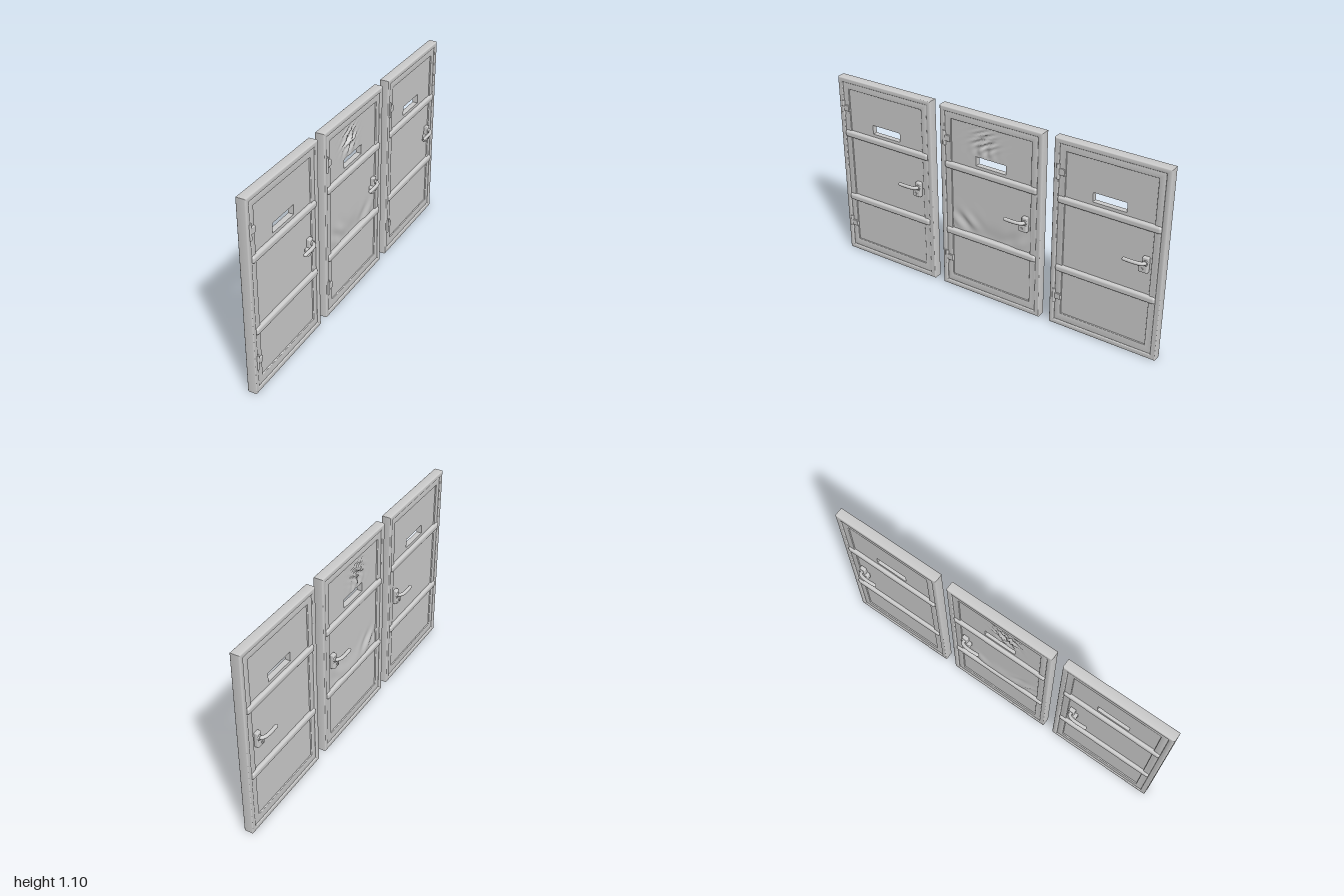
import * as THREE from 'three';
import { RoundedBoxGeometry } from 'three/addons/geometries/RoundedBoxGeometry.js';
import { toCreasedNormals } from 'three/addons/utils/BufferGeometryUtils.js';

const grey = new THREE.MeshStandardMaterial({ color: 0xcccccc });
const H = 1.095, W = 0.625;

function add(parent, name, geometry, x = 0, y = 0, z = 0) {
  const mesh = new THREE.Mesh(geometry, grey);
  mesh.name = name;
  mesh.position.set(x, y, z);
  parent.add(mesh);
  return mesh;
}

function rectPath(path, x0, x1, y0, y1) {
  path.moveTo(x0, y0);
  path.lineTo(x1, y0);
  path.lineTo(x1, y1);
  path.lineTo(x0, y1);
  path.closePath();
  return path;
}

// Bevelled rectangular ring, centred on z = 0; o and i are [x0, x1, y0, y1]
function ring(o, i, depth, bevel) {
  const shape = rectPath(new THREE.Shape(), ...o);
  shape.holes.push(rectPath(new THREE.Path(), ...i));
  const g = new THREE.ExtrudeGeometry(shape, {
    depth: depth - 2 * bevel, bevelEnabled: true, bevelSize: bevel,
    bevelThickness: bevel, bevelOffset: -bevel, bevelSegments: 3,
  });
  g.translate(0, 0, -depth / 2 + bevel);
  return toCreasedNormals(g, 0.7);
}

// Crumpled metal: a puncture in the upper panel and creases in the middle one
function dent(x, y) {
  const bump = (cx, cy, rx, ry) => Math.exp(-(((x - cx) / rx) ** 2) - (((y - cy) / ry) ** 2));
  const puncture = bump(-0.04, 0.94, 0.06, 0.06) * 0.02 * Math.sin(95 * x + 30 * Math.sin(9 * y)) * Math.cos(60 * (y - 0.94));
  const creases = bump(-0.17, 0.44, 0.08, 0.05) * 0.007 * Math.sin(50 * x + 45 * y)
    - bump(0, 0.38, 0.16, 0.06) * 0.007
    + bump(0.16, 0.41, 0.08, 0.05) * 0.005 * Math.sin(40 * x - 30 * y);
  return puncture + creases;
}

function slab(parent, name, x0, x1, y0, y1, dented) {
  const w = x1 - x0, h = y1 - y0;
  const n = (s) => (dented ? Math.max(1, Math.round(s / 0.01)) : 1);
  const g = new THREE.BoxGeometry(w, h, 0.03, n(w), n(h), 1);
  g.translate((x0 + x1) / 2, (y0 + y1) / 2, 0);
  if (dented) {
    const p = g.attributes.position;
    for (let i = 0; i < p.count; i++) p.setZ(i, p.getZ(i) + dent(p.getX(i), p.getY(i)));
    g.computeVertexNormals();
  }
  add(parent, name, g);
}

function makeHandle() {
  const handle = new THREE.Group();
  handle.name = 'handle';
  add(handle, 'handlePlate', new RoundedBoxGeometry(0.034, 0.088, 0.024, 2, 0.006), 0.218, 0.55, 0.024);
  add(handle, 'lockPlate', new RoundedBoxGeometry(0.05, 0.042, 0.026, 2, 0.006), 0.208, 0.527, 0.026);
  add(handle, 'keyhole', new THREE.CylinderGeometry(0.007, 0.007, 0.006, 16).rotateX(Math.PI / 2), 0.205, 0.527, 0.04);
  // Lever curving out of the plate and back along the door
  const curve = new THREE.CatmullRomCurve3([
    [0.222, 0.565, 0.025], [0.22, 0.567, 0.045], [0.205, 0.567, 0.057],
    [0.17, 0.567, 0.062], [0.115, 0.566, 0.06],
  ].map((p) => new THREE.Vector3(...p)));
  add(handle, 'lever', new THREE.TubeGeometry(curve, 24, 0.01, 12));
  add(handle, 'leverTip', new THREE.SphereGeometry(0.01, 12, 8), 0.115, 0.566, 0.06);
  add(handle, 'leverCollar', new THREE.CylinderGeometry(0.014, 0.014, 0.016, 16).rotateX(Math.PI / 2), 0.222, 0.566, 0.036);
  return handle;
}

// One door, built facing +z and turned to face +x
function makeDoor(dented) {
  const door = new THREE.Group();
  door.name = dented ? 'damagedDoor' : 'door';
  add(door, 'outerFrame', ring([-W / 2, W / 2, 0, H], [-0.283, 0.283, 0.03, 1.067], 0.054, 0.007));
  add(door, 'leafFrame', ring([-0.284, 0.284, 0.029, 1.068], [-0.246, 0.246, 0.075, 1.03], 0.044, 0.004));

  // Panels, the upper one built around its slot
  const s = 0.093, y0 = 0.797, y1 = 0.85;
  slab(door, 'lowerPanel', -0.25, 0.25, 0.07, 0.355, false);
  slab(door, 'middlePanel', -0.25, 0.25, 0.355, 0.76, dented);
  slab(door, 'upperPanelBelowSlot', -0.25, 0.25, 0.76, y0, dented);
  slab(door, 'upperPanelAboveSlot', -0.25, 0.25, y1, 1.035, dented);
  slab(door, 'upperPanelHingeSide', -0.25, -s, y0, y1, dented);
  slab(door, 'upperPanelHandleSide', s, 0.25, y0, y1, dented);

  // Cross bars
  for (const y of [0.76, 0.356]) {
    add(door, 'crossBar', new RoundedBoxGeometry(0.57, 0.04, 0.068, 4, 0.014), 0, y, 0);
  }

  // A handle on each face, mirrored through the door
  const front = makeHandle();
  const back = makeHandle();
  back.traverse((m) => {
    if (!m.isMesh) return;
    m.position.z *= -1;
    m.scale.z = -1;
  });
  door.add(front, back);

  // Hinges, on one face only
  for (const y of [0.915, 0.18]) {
    add(door, 'hingeBarrel', new THREE.CylinderGeometry(0.009, 0.009, 0.085, 14), -0.287, y, 0.024);
    add(door, 'hingeLeaf', new RoundedBoxGeometry(0.04, 0.036, 0.012, 2, 0.004), -0.268, y, 0.024);
  }
  door.rotation.y = Math.PI / 2;
  return door;
}

export function createModel() {
  const model = new THREE.Group();
  model.name = 'threeDoors';
  for (const z of [0.6875, 0.002, -0.6875]) {
    const door = makeDoor(Math.abs(z) < 0.1);
    door.position.z = z;
    model.add(door);
  }
  return model;
}
